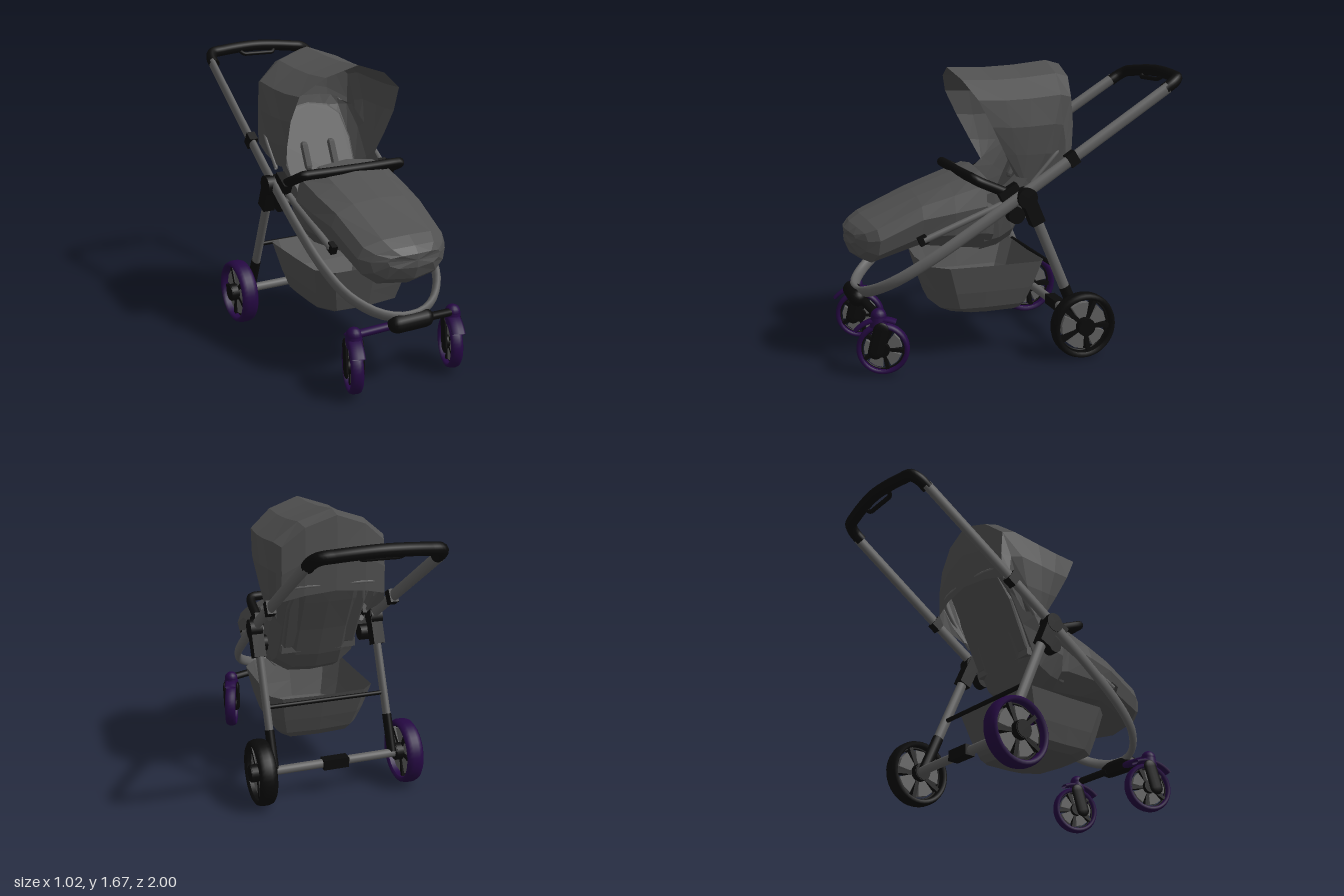
import * as THREE from 'three';

const mat = (color, flatShading = false) =>
  new THREE.MeshStandardMaterial({ color, flatShading, side: THREE.DoubleSide });
const fabric = mat(0x505050, true), metal = mat(0x606060), black = mat(0x0a0a0a), purple = mat(0x250842);
const V = (x, y, z) => new THREE.Vector3(x, y, z);
const TILT = Math.atan(0.629); // slope of the main frame
const SIDES = [-1, 1];

function add(parent, name, geo, material, pos = [0, 0, 0], rot = [0, 0, 0]) {
  const m = new THREE.Mesh(geo, material);
  m.name = name;
  m.position.set(...pos);
  m.rotation.set(...rot);
  parent.add(m);
  return m;
}

const box = (w, h, d) => new THREE.BoxGeometry(w, h, d);
const axleCyl = (r, len, seg = 20) => new THREE.CylinderGeometry(r, r, len, seg).rotateZ(Math.PI / 2);
const shape = pts => new THREE.Shape(pts.map(p => new THREE.Vector2(...p)));

function tube(pts, r, seg = 24) {
  return new THREE.TubeGeometry(new THREE.CatmullRomCurve3(pts.map(p => V(...p))), seg, r, 12);
}

// Straight bar between two points; depth widens it front to back
function bar(parent, name, a, b, r, material, depth = 1) {
  const p = V(...a), q = V(...b), d = q.clone().sub(p);
  const m = add(parent, name, new THREE.CylinderGeometry(r, r, d.length(), 14), material);
  m.position.copy(p.add(q).multiplyScalar(0.5));
  m.quaternion.setFromUnitVectors(V(0, 1, 0), d.normalize());
  m.scale.z = depth;
}

// Half outline mirrored across x; the last point lies on the centre line
const mirror = half => [...half, ...half.slice(0, -1).reverse().map(([x, ...r]) => [-x, ...r])];

// Skin through equally long rows of points
function loft(rows, closed = false) {
  const n = rows[0].length, pos = rows.flat(2), idx = [];
  for (let i = 0; i < rows.length - 1; i++)
    for (let j = 0; j < (closed ? n : n - 1); j++) {
      const a = i * n + j, b = i * n + (j + 1) % n;
      idx.push(a, b, a + n, b, b + n, a + n);
    }
  const g = new THREE.BufferGeometry();
  g.setAttribute('position', new THREE.Float32BufferAttribute(pos, 3));
  g.setIndex(idx);
  g.computeVertexNormals();
  return g;
}

// Wheel about the x axis: rounded tyre, rim, hub, black spokes and grey plates between them
function wheel(name, r, width, tyreMat) {
  const g = new THREE.Group(), w = width / 2, ri = r * 0.82;
  g.name = name;
  const prof = [[ri, -w * 0.7], [r * 0.88, -w], [r * 0.96, -w * 0.8], [r, -w * 0.35], [r, w * 0.35],
    [r * 0.96, w * 0.8], [r * 0.88, w], [ri, w * 0.7], [ri, -w * 0.7]].map(p => new THREE.Vector2(...p));
  add(g, 'tyre', new THREE.LatheGeometry(prof, 40).rotateZ(Math.PI / 2), tyreMat);
  add(g, 'rim', new THREE.TorusGeometry(ri * 0.97, r * 0.035, 8, 36).rotateY(Math.PI / 2), black);
  const plate = new THREE.ExtrudeGeometry(
    shape([[-0.1, 0.2], [0.1, 0.2], [0.28, 0.66], [0, 0.72], [-0.28, 0.66]].map(([x, y]) => [x * r, y * r])),
    { depth: w * 0.7, bevelEnabled: false }).translate(0, 0, -w * 0.35).rotateY(Math.PI / 2);
  const spoke = box(w * 0.9, r * 0.62, r * 0.13).translate(0, r * 0.5, 0);
  for (let i = 0; i < 5; i++) {
    const a = i * Math.PI * 0.4 + 0.2;
    add(g, 'spokePlate', plate, metal, [0, 0, 0], [a, 0, 0]);
    add(g, 'spoke', spoke, black, [0, 0, 0], [a + Math.PI / 5, 0, 0]);
  }
  add(g, 'hub', axleCyl(r * 0.27, width * 1.15), black);
  return g;
}

function buildFrame(root) {
  const f = new THREE.Group();
  f.name = 'mainFrame';
  f.position.y = 0.995;
  f.rotation.x = TILT;
  root.add(f);
  // Oval tube running down one side, round the front and up the other
  const rail = mirror([[0.355, 0, -1], [0.362, 0, -0.5], [0.367, 0, 0], [0.36, 0, 0.4], [0.335, 0, 0.7],
    [0.28, 0, 0.9], [0.18, 0, 1.03], [0.08, 0, 1.085], [0, 0, 1.095]]);
  add(f, 'sideRails', tube(rail, 0.021, 90).scale(1, 1.65, 1), metal);
  const grip = mirror([[0.355, 0, -0.98], [0.352, 0, -1.04], [0.325, 0, -1.09], [0.25, 0, -1.108],
    [0.12, 0, -1.127], [0, 0, -1.135]]);
  add(f, 'handlebar', tube(grip, 0.035, 60).scale(0.97, 1, 1), black);
  const lever = mirror([[0.125, -0.01, -1.11], [0.1, -0.015, -1.078], [0.06, -0.015, -1.075], [0, -0.015, -1.075]]);
  add(f, 'foldLever', tube(lever, 0.013, 30), black);
  for (const s of SIDES) {
    add(f, 'railCollar', box(0.05, 0.078, 0.06), black, [s * 0.364, 0, -0.29]);
    // Rear leg with folding joint and wheel
    const x = s * 0.367;
    bar(root, 'rearLeg', [x, 0.94, 0.02], [x, 0.38, -0.218], 0.023, metal, 1.35);
    bar(root, 'lowerLeg', [x, 0.41, -0.206], [x, 0.2, -0.295], 0.027, black, 1.25);
    add(root, 'foldingJoint', box(0.07, 0.2, 0.08), black, [s * 0.372, 0.89, 0.005], [0.41, 0, 0]);
    add(root, 'jointCap', axleCyl(0.057, 0.07), black, [s * 0.375, 0.95, 0.035]);
    add(root, 'reclineKnob', axleCyl(0.048, 0.06), black, [s * 0.325, 0.845, 0.08]);
    const w = wheel('rearWheel', 0.192, 0.105, s < 0 ? purple : black);
    w.position.set(s * 0.447, 0.195, -0.29);
    root.add(w);
    add(root, 'axleCap', axleCyl(0.048, 0.13), black, [s * 0.447, 0.195, -0.29]);
  }
  add(root, 'rearAxle', axleCyl(0.026, 0.76), metal, [0, 0.195, -0.3]);
  add(root, 'brakePedal', box(0.155, 0.06, 0.065), black, [0, 0.195, -0.305]);
  add(root, 'legCrossbar', axleCyl(0.013, 0.72), black, [0, 0.53, -0.155]);
}

function buildFrontWheels(root) {
  add(root, 'frontFootBlock', new THREE.CapsuleGeometry(0.05, 0.17, 6, 14).rotateZ(Math.PI / 2), black, [0, 0.385, 0.935]);
  for (const s of SIDES) {
    const x = s * 0.312 + 0.012;
    bar(root, 'casterArm', [s * 0.08, 0.37, 0.91], [x, 0.345, 0.87], 0.022, s < 0 ? purple : black, 1.2);
    const c = new THREE.Group();
    c.name = 'casterWheel';
    c.position.set(x, 0, 0.85);
    c.rotation.y = -0.33;
    root.add(c);
    const w = wheel('frontWheel', 0.145, 0.07, purple);
    w.position.y = 0.158;
    c.add(w);
    add(c, 'swivelKnob', new THREE.SphereGeometry(0.043, 16, 10), purple, [0, 0.345, 0.02]);
    add(c, 'swivelPost', new THREE.CylinderGeometry(0.042, 0.05, 0.06, 16), purple, [0, 0.315, 0.02]);
    // Mudguard: flattened arc over the tyre, raised at the back
    const guard = new THREE.TorusGeometry(0.19, 0.012, 8, 16, 1.25).rotateZ(0.95).rotateY(Math.PI / 2).scale(3.2, 1, 1);
    add(c, 'mudguard', guard, purple, [0, 0.135, 0.005], [0.2, 0, 0]);
    for (const k of SIDES) {
      const blade = add(c, 'forkBlade', new THREE.CapsuleGeometry(0.042, 0.13, 4, 12), black,
        [k * 0.043, 0.215, 0.02], [-0.25, 0, 0]);
      blade.scale.x = 0.3;
    }
  }
}

function buildBasket(root) {
  // Rings as [y, half width, back z, front z], rim first
  const rings = [[0.56, 0.32, -0.12, 0.58], [0.4, 0.285, -0.065, 0.535], [0.3, 0.255, -0.025, 0.505],
    [0.262, 0.22, 0, 0.43]];
  const rows = rings.map(([y, w, b, f]) => [[-w, y, b + 0.05], [-w * 0.8, y - 0.008, b], [0, y - 0.015, b],
    [w * 0.8, y - 0.008, b], [w, y, b + 0.05], [w, y, (b + f) / 2], [w, y + 0.005, f - 0.12],
    [w * 0.75, y + 0.007, f - 0.02], [0, y + 0.007, f], [-w * 0.75, y + 0.007, f - 0.02],
    [-w, y + 0.005, f - 0.12], [-w, y, (b + f) / 2]]);
  rows.push(rows[0].map(() => [0, 0.257, 0.22]));
  add(root, 'storageBasket', loft(rows, true), fabric);
}

function buildSeat(root) {
  // Foot cover sections as [z, half width, top y, bottom y, forward bow]
  const secs = [[0.985, 0.16, 0.775, 0.7, 0.035], [0.955, 0.23, 0.81, 0.63, 0.06], [0.895, 0.27, 0.85, 0.587, 0.06],
    [0.6, 0.292, 0.97, 0.665, 0], [0.42, 0.308, 1.035, 0.635, 0], [0.24, 0.312, 1.1, 0.605, 0], [0.195, 0.305, 1.05, 0.61, 0]];
  const cover = secs.map(([z, w, t, b, bow]) => {
    const h = t - b, half = [[0.55, 0.04], [0.9, 0.17], [1, 0.4], [0.93, 0.72], [0.65, 0.93]]
      .map(([u, v]) => [w * u, t - h * v, z - bow * u * u]);
    return [[0, t, z], ...mirror([...half, [0, b, z]])];
  });
  cover.unshift(cover[0].map(() => [0, 0.74, 0.985]));
  add(root, 'footCover', loft(cover, true), fabric);

  // Seat shell rows as [rim z, rim y, bottom z, bottom y, half width], sweeping up the backrest
  const shell = [[0.24, 0.97, 0.24, 0.605, 0.31], [0.2, 0.98, 0.13, 0.625, 0.305], [0.17, 0.99, 0.04, 0.675, 0.3],
    [0.13, 1.02, -0.015, 0.77, 0.295], [0.06, 1.08, -0.095, 0.95, 0.295], [-0.06, 1.22, -0.19, 1.14, 0.3],
    [-0.18, 1.32, -0.27, 1.31, 0.28], [-0.24, 1.34, -0.28, 1.38, 0.23]];
  const rows = shell.map(([rz, ry, bz, by, w]) => mirror([[1, 0], [0.95, 0.4], [0.8, 0.78], [0.48, 0.97], [0, 1]]
    .map(([u, t]) => [w * u, ry + (by - ry) * t, rz + (bz - rz) * t])));
  add(root, 'seatShell', loft(rows), fabric);
  // Back cushion with a rounded head end
  const back = shape(mirror([[0.21, -0.25], [0.22, 0.05], [0.19, 0.2], [0.12, 0.26], [0, 0.28]]));
  add(root, 'backCushion', new THREE.ExtrudeGeometry(back, { depth: 0.025, bevelSize: 0.015, bevelThickness: 0.015, bevelSegments: 2 }),
    fabric, [0, 1.07, -0.125], [-0.45, 0, 0]);
  add(root, 'seatCushion', box(0.46, 0.05, 0.35), fabric, [0, 0.84, 0.15], [-0.1, 0, 0]);
  const backFrame = mirror([[0.305, 1.02, -0.03], [0.3, 1.18, -0.18], [0.27, 1.25, -0.255], [0.2, 1.265, -0.285], [0, 1.27, -0.295]]);
  add(root, 'backFrame', tube(backFrame, 0.011, 50), metal);

  for (const s of SIDES) {
    add(root, 'harnessPad', new THREE.CapsuleGeometry(0.024, 0.13, 3, 8), fabric, [s * 0.09, 1.06, -0.07], [-0.45, 0, 0]);
    bar(root, 'seatRail', [s * 0.296, 0.735, 0.6], [s * 0.318, 0.93, 0.1], 0.018, metal);
    add(root, 'seatRailClip', box(0.035, 0.05, 0.05), black, [s * 0.288, 0.735, 0.605], [0.4, 0, 0]);
    add(root, 'bumperMount', box(0.05, 0.065, 0.12), black, [s * 0.335, 0.975, 0.12], [0.5, 0, 0]);
  }
  const bumper = mirror([[0.325, 0.96, 0.1], [0.325, 1.0, 0.19], [0.323, 1.045, 0.29], [0.31, 1.061, 0.318], [0.28, 1.064, 0.323],
    [0.15, 1.064, 0.327], [0, 1.064, 0.328]]);
  add(root, 'bumperBar', tube(bumper, 0.028, 60), black);
}

function buildHood(root) {
  // Arches from front to back as [apex y, apex z, base y, base z, width factor]
  const arches = [[1.65, 0.37, 1.06, 0.07, 0.97], [1.645, 0.17, 1.05, 0.045, 1], [1.655, -0.02, 1.045, 0.02, 1.01],
    [1.678, -0.23, 1.04, -0.04, 1], [1.655, -0.315, 1.04, -0.07, 0.92], [1.45, -0.325, 1.04, -0.09, 0.93],
    [1.235, -0.31, 1.04, -0.1, 0.95]];
  const half = [[0.3, 0], [0.325, 0.22], [0.342, 0.48], [0.325, 0.73], [0.19, 0.9], [0, 1]];
  const rows = arches.map(([ay, az, by, bz, k], i) => mirror(half.map(([x, t]) => {
    const u = i > 2 ? Math.pow(t, 0.75) : t; // rear arches are boxier in depth
    return [x * k, by + (ay - by) * t, bz + (az - bz) * u];
  })));
  add(root, 'sunHood', loft(rows), fabric);
}

export function createModel() {
  const root = new THREE.Group();
  root.name = 'stroller';
  buildFrame(root);
  buildFrontWheels(root);
  buildBasket(root);
  buildSeat(root);
  buildHood(root);
  return root;
}
